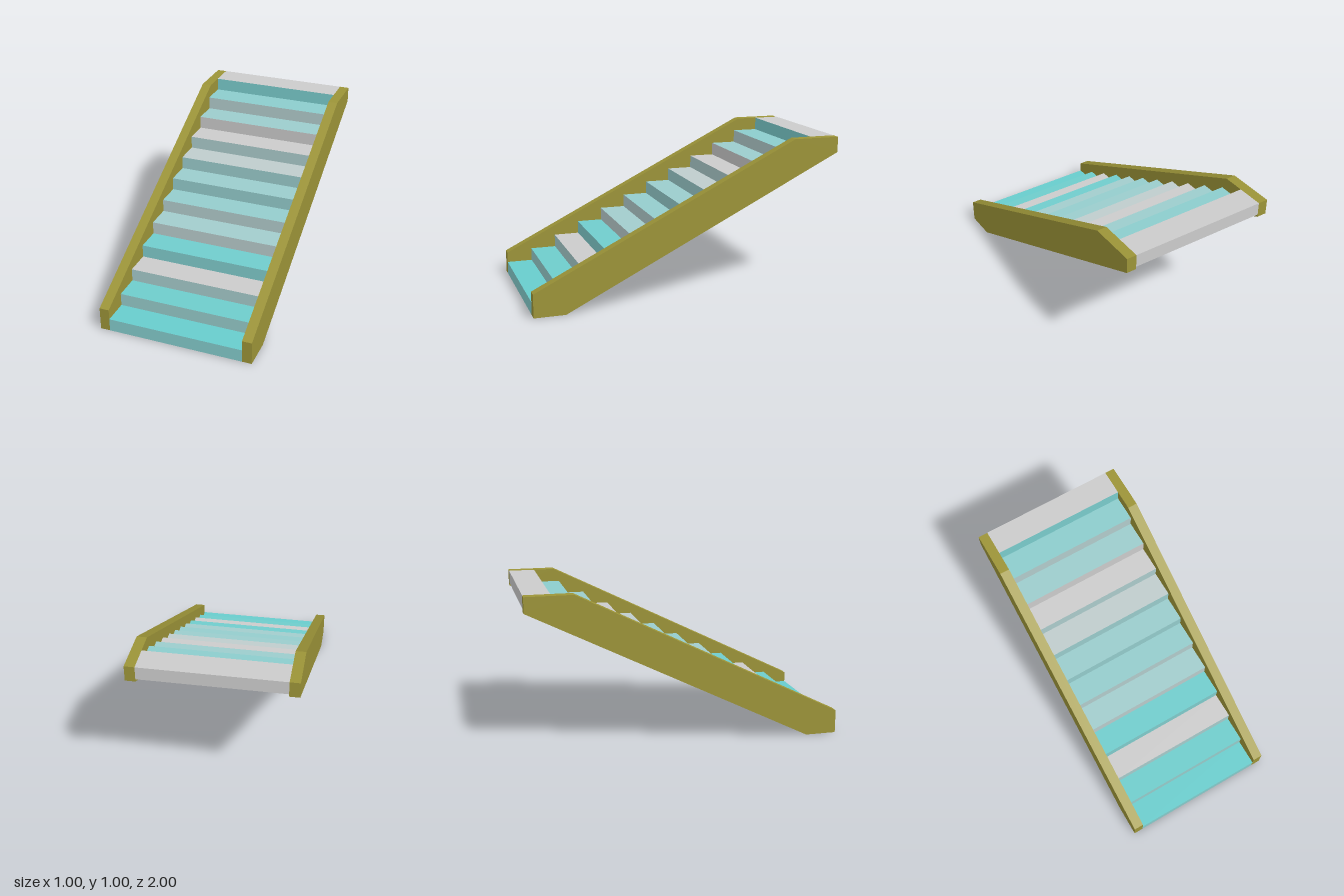
import * as THREE from 'three';

const STEPS = 12, RISE = 1 / STEPS, RUN = 2 / STEPS;
const WIDTH = 0.875, SIDE = 0.0625;

// Worn paint: one colour per step, bottom to top
const TREADS = [0x68cccc, 0x6ecccb, 0xcccccc, 0x70cccc, 0xa2cccc, 0x94cccc,
  0x9acccc, 0xbfcccc, 0xcccccc, 0x9ccccc, 0x8ccccc, 0xcccccc];
const RISERS = [0x84cccc, 0x96cccb, 0xa6cccc, 0x80cccc, 0xb9cccc, 0xb2cccc,
  0x94cccc, 0x9acccc, 0xaccccc, 0xcccccc, 0xb2cccc, 0x7acccc];

// Thin sheet spanning the gap between the stringers
function sheet(name, depth, color, y, z, rotX = 0) {
  const mesh = new THREE.Mesh(
    new THREE.PlaneGeometry(WIDTH, depth),
    new THREE.MeshStandardMaterial({ color, side: THREE.DoubleSide }));
  mesh.name = name;
  mesh.rotation.x = rotX;
  mesh.position.set(0, y, z);
  return mesh;
}

export function createModel() {
  const model = new THREE.Group();
  model.name = 'staircase';

  // Folded flight of risers and treads, climbing towards the back
  const flight = new THREE.Group();
  flight.name = 'flight';
  for (let i = 0; i < STEPS; i++) {
    const front = 1 - i * RUN;
    flight.add(sheet('riser', RISE, RISERS[i], (i + 0.5) * RISE, front));
    flight.add(sheet('tread', RUN, TREADS[i], (i + 1) * RISE, front - RUN / 2, -Math.PI / 2));
  }
  // Back lip closing the top step
  flight.add(sheet('backPanel', RISE, 0xcccccc, 1 - RISE / 2, -1, Math.PI));
  model.add(flight);

  // Sloping side stringers, profile drawn front to back
  const profile = new THREE.Shape([
    [-1, 0], [-0.8, 0], [1, 0.9], [1, 1], [0.7, 1], [-1, 0.15],
  ].map(([x, y]) => new THREE.Vector2(x, y)));
  const stringerGeo = new THREE.ExtrudeGeometry(profile, { depth: SIDE, bevelEnabled: false });
  stringerGeo.rotateY(Math.PI / 2);
  const olive = new THREE.MeshStandardMaterial({ color: 0x9c9438 });
  for (const [name, x] of [['leftStringer', WIDTH / 2], ['rightStringer', -WIDTH / 2 - SIDE]]) {
    const stringer = new THREE.Mesh(stringerGeo, olive);
    stringer.name = name;
    stringer.position.x = x;
    model.add(stringer);
  }
  return model;
}
